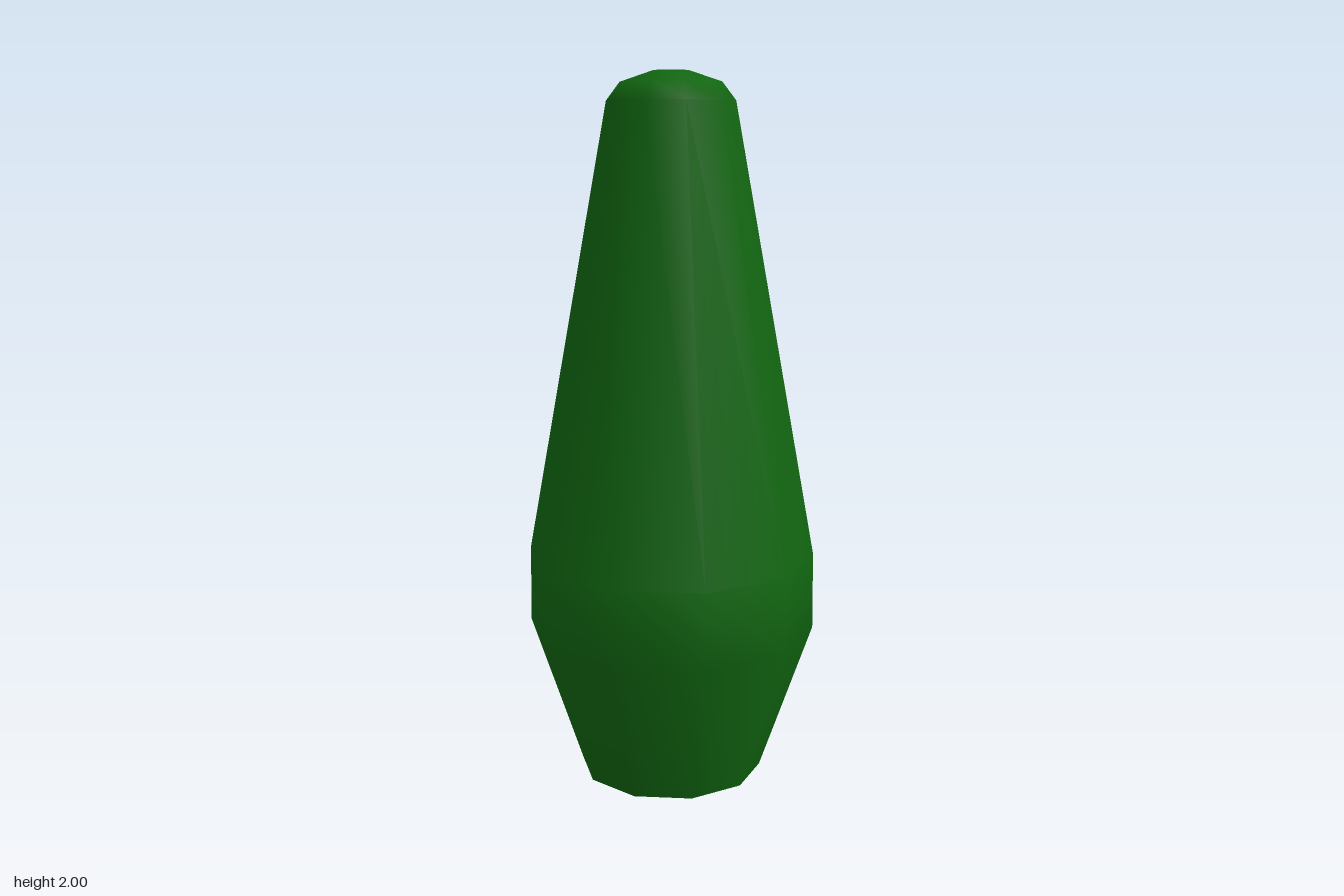
import * as THREE from 'three';

export function createModel() {
  const group = new THREE.Group();
  group.name = 'taperedTree';
  const material = new THREE.MeshStandardMaterial({ color: 0x116611 });
  const sides = 10;
  const twist = 0.024; // slight turn of the ten-sided section

  // Foliage: narrow foot, wide belly, long taper and rounded tip
  const profile = [
    [0.263, 0], [0.412, 0.43], [0.41, 0.65], [0.178, 1.92],
    [0.14, 1.97], [0.05, 2], [0, 2],
  ].map(([r, y]) => new THREE.Vector2(r, y));
  const foliage = new THREE.Mesh(new THREE.LatheGeometry(profile, sides, -twist), material);
  foliage.name = 'foliage';
  group.add(foliage);

  // Flat underside closing the foot
  const base = new THREE.Mesh(
    new THREE.CircleGeometry(0.263, sides, Math.PI / 2 + twist).rotateX(Math.PI / 2),
    material
  );
  base.name = 'underside';
  group.add(base);

  return group;
}
